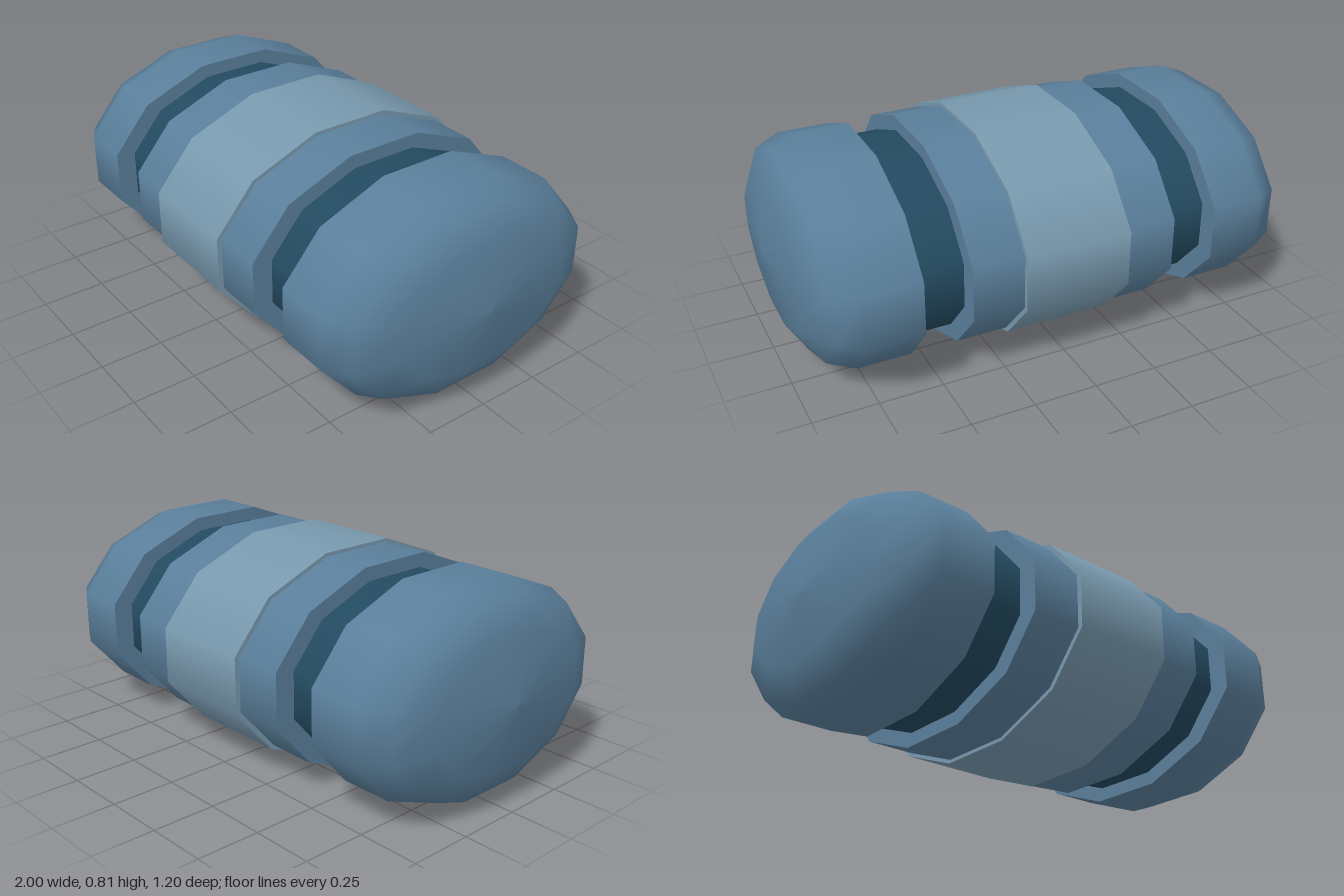
import * as THREE from 'three';

const SIDES = 12;
const FLATTEN = 0.678; // height relative to depth
const CENTRE_Y = 0.407;

// Turns a profile of [x, half depth] about the x axis, flattened to an oval.
// A repeated point keeps that edge sharp.
function turned(name, profile, color) {
  const k = 1 / Math.cos(Math.PI / SIDES);
  const points = profile.map(([x, r]) => new THREE.Vector2(r * k, x));
  const geometry = new THREE.LatheGeometry(points, SIDES, Math.PI / SIDES);
  geometry.rotateZ(-Math.PI / 2);
  geometry.scale(1, FLATTEN, 1);
  const mesh = new THREE.Mesh(geometry, new THREE.MeshStandardMaterial({ color }));
  mesh.name = name;
  return mesh;
}

// Closed straight drum centred on x = 0
function drum(name, half, r, color) {
  return turned(name, [[-half, 0], [-half, r], [-half, r], [half, r], [half, r], [half, 0]], color);
}

export function createModel() {
  const group = new THREE.Group();
  group.name = 'capsule';
  const body = new THREE.Group();
  body.position.y = CENTRE_Y;
  body.name = 'body';
  group.add(body);

  const blue = 0x5a7f9b, light = 0x7899ae, dark = 0x234a60;

  // Nested drums: dark core in the grooves, collar, light centre band
  body.add(drum('core', 0.6, 0.5, dark));
  body.add(drum('collar', 0.41, 0.58, blue));
  body.add(drum('centreBand', 0.21, 0.6, light));

  // Rounded end caps
  const capProfile = [
    [0.59, 0], [0.59, 0.58], [0.59, 0.58],
    [0.8, 0.58], [0.9, 0.524], [0.97, 0.367], [1, 0],
  ];
  for (const [name, turn] of [['leftCap', 0], ['rightCap', Math.PI]]) {
    const cap = turned(name, capProfile, blue);
    cap.rotation.y = turn;
    body.add(cap);
  }
  return group;
}
